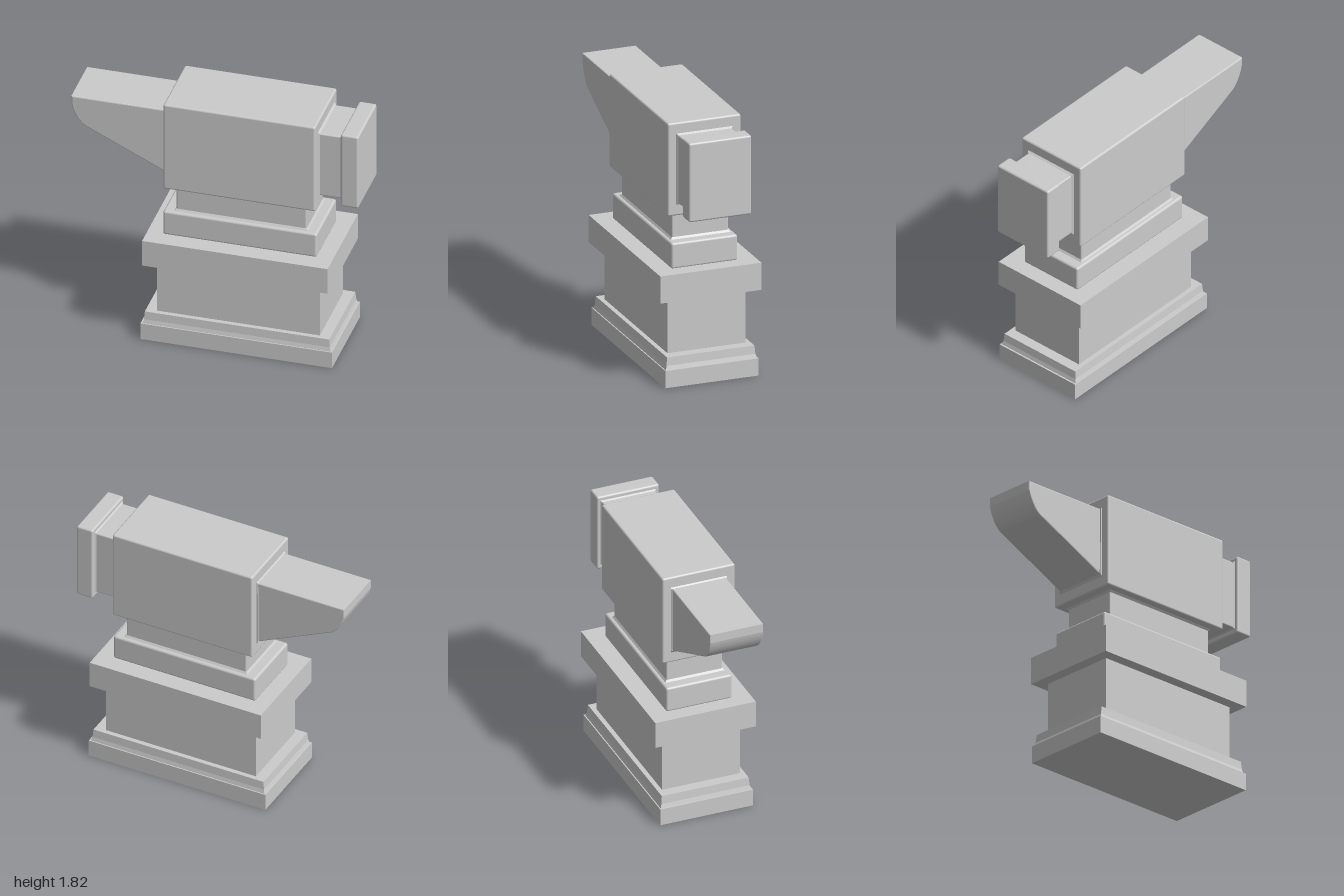
import * as THREE from 'three';
import { RoundedBoxGeometry } from 'three/addons/geometries/RoundedBoxGeometry.js';

const material = new THREE.MeshStandardMaterial({ color: 0xcccccc });

export function createModel() {
  const model = new THREE.Group();
  model.name = 'anvilOnPedestal';

  const add = (name, geometry) => {
    const mesh = new THREE.Mesh(geometry, material);
    mesh.name = name;
    model.add(mesh);
    return mesh;
  };

  // Block between x0..x1 and y0..y1, with half depth d; r rounds its edges
  const block = (name, x0, x1, y0, y1, d, r = 0) => {
    const size = [x1 - x0, y1 - y0, 2 * d];
    const geometry = r ? new RoundedBoxGeometry(...size, 3, r) : new THREE.BoxGeometry(...size);
    add(name, geometry.translate((x0 + x1) / 2, (y0 + y1) / 2, 0));
  };

  // Block whose far end along an axis ('x' or 'y') shrinks by inset; dir is the narrowing direction
  const taper = (name, x0, x1, y0, y1, d, axis, dir, inset) => {
    let geometry = new THREE.BoxGeometry(x1 - x0, y1 - y0, 2 * d);
    const p = geometry.attributes.position;
    const i = axis === 'x' ? 0 : 1;
    for (let v = 0; v < p.count; v++) {
      if (p.getComponent(v, i) * dir < 0) continue;
      for (const c of [1 - i, 2]) {
        const value = p.getComponent(v, c);
        p.setComponent(v, c, value - Math.sign(value) * inset);
      }
    }
    geometry = geometry.toNonIndexed();
    geometry.computeVertexNormals();
    add(name, geometry.translate((x0 + x1) / 2, (y0 + y1) / 2, 0));
  };

  // Pedestal
  block('plinth', -0.48, 0.85, 0, 0.122, 0.335);
  taper('plinthMoulding', -0.468, 0.838, 0.122, 0.15, 0.327, 'y', 1, 0.008);
  taper('plinthStep', -0.46, 0.83, 0.15, 0.208, 0.319, 'y', 1, 0.005);
  block('column', -0.38, 0.75, 0.2, 0.605, 0.281);
  block('pedestalCap', -0.46, 0.828, 0.597, 0.79, 0.363);

  // Anvil foot and waist, with small fillets where they meet
  block('foot', -0.352, 0.716, 0.785, 0.968, 0.238, 0.016);
  block('waist', -0.268, 0.636, 0.95, 1.18, 0.203, 0.01);
  taper('waistLowerFillet', -0.28, 0.648, 0.966, 0.982, 0.215, 'y', 1, 0.012);
  taper('waistUpperFillet', -0.28, 0.648, 1.146, 1.162, 0.215, 'y', -1, 0.012);

  // Body
  block('body', -0.343, 0.712, 1.16, 1.82, 0.263, 0.014);

  // Heel: neck and striking head
  block('heelNeck', 0.69, 0.9, 1.25, 1.733, 0.192, 0.01);
  taper('neckInnerFillet', 0.71, 0.726, 1.238, 1.745, 0.204, 'x', 1, 0.012);
  taper('neckOuterFillet', 0.868, 0.882, 1.24, 1.743, 0.202, 'x', -1, 0.01);
  block('heelHead', 0.878, 1, 1.21, 1.77, 0.225, 0.014);

  // Horn: side profile with a rounded underside at the tip, softened edges
  const bevel = 0.008;
  const horn = new THREE.Shape();
  horn.moveTo(-0.31, 1.734 - bevel);
  horn.lineTo(-1 + bevel, 1.734 - bevel);
  horn.lineTo(-1 + bevel, 1.672);
  horn.bezierCurveTo(-0.982, 1.62, -0.95, 1.555, -0.903, 1.522);
  horn.lineTo(-0.37, 1.27);
  horn.lineTo(-0.31, 1.242);
  horn.closePath();
  const width = 0.388 - 2 * bevel;
  add('horn', new THREE.ExtrudeGeometry(horn, {
    depth: width, curveSegments: 8, bevelSize: bevel, bevelThickness: bevel, bevelSegments: 2,
  }).translate(0, 0, -width / 2));

  // Flared collar where the horn joins the body
  const collar = new THREE.Shape();
  collar.moveTo(-0.338, 1.746);
  collar.lineTo(-0.352, 1.734);
  collar.lineTo(-0.356, 1.256);
  collar.lineTo(-0.338, 1.232);
  collar.closePath();
  add('hornCollar', new THREE.ExtrudeGeometry(collar, { depth: 0.404, bevelEnabled: false })
    .translate(0, 0, -0.202));

  return model;
}
